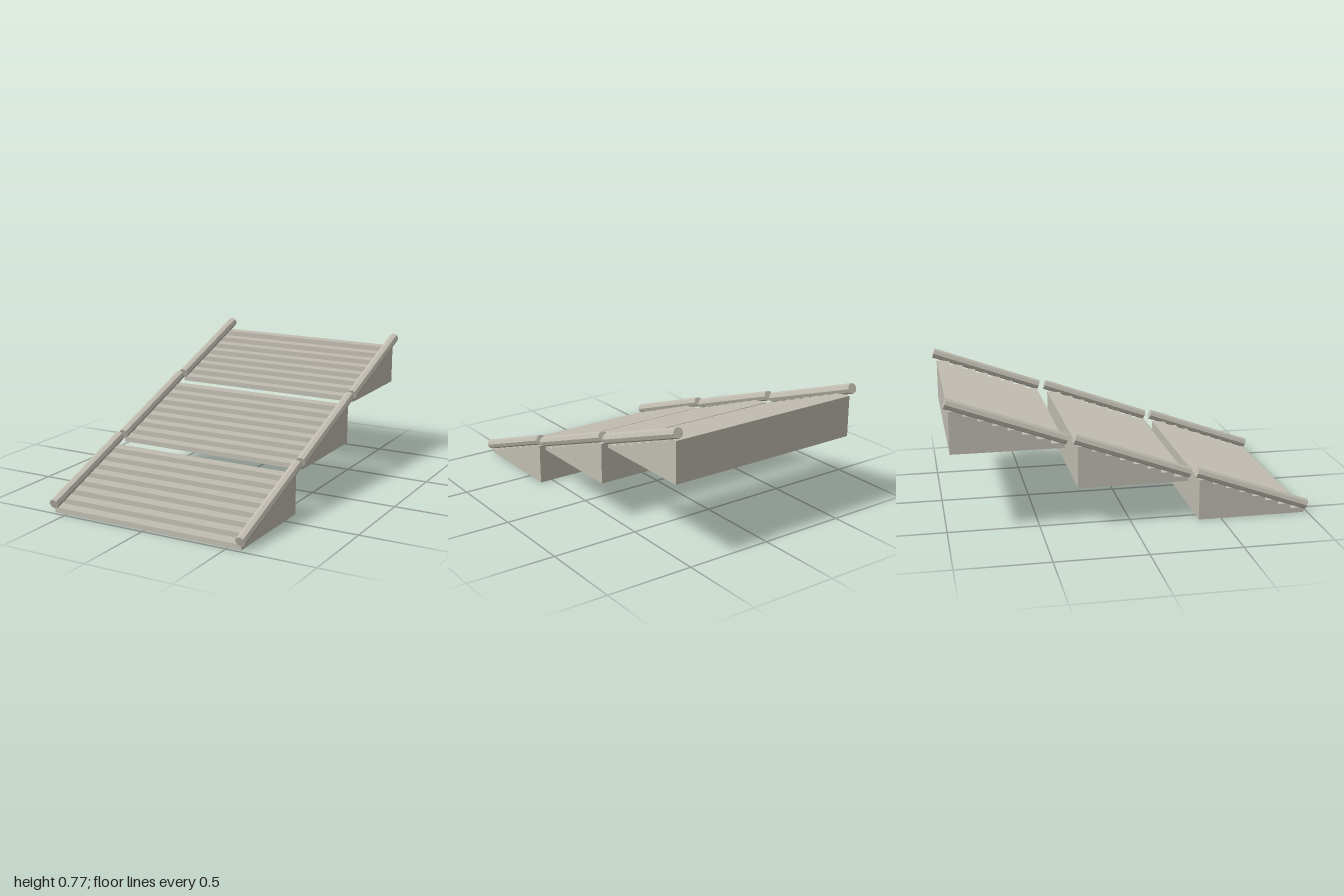
import * as THREE from 'three';

const FLIGHTS = 3, STEPS = 8;
const RISE = 0.0288, RUN = 0.0757;
const OFFSET_Y = STEPS * RISE, OFFSET_Z = -0.673;
const HALF_WIDTH = 0.576, FRONT_Z = 0.979;

// Solid stepped block: saw-tooth side profile extruded across the width
function stairGeometry() {
  const shape = new THREE.Shape();
  shape.moveTo(0, 0);
  shape.lineTo(STEPS * RUN, 0);
  for (let i = STEPS; i > 0; i--) {
    shape.lineTo(i * RUN, i * RISE);
    shape.lineTo((i - 1) * RUN, i * RISE);
  }
  shape.closePath();
  const geo = new THREE.ExtrudeGeometry(shape, { depth: 2 * HALF_WIDTH, bevelEnabled: false });
  geo.translate(0, 0, -HALF_WIDTH);
  geo.rotateY(Math.PI / 2);
  geo.translate(0, 0, FRONT_Z);
  return geo;
}

// Eight-sided rail running up and back between two end centres
function railGeometry() {
  const start = new THREE.Vector3(0, 0.048, 0.99);
  const end = new THREE.Vector3(0, 0.278, 0.356);
  const dir = end.clone().sub(start);
  const geo = new THREE.CylinderGeometry(0.029, 0.029, dir.length(), 8);
  geo.rotateX(-Math.atan2(-dir.z, dir.y));
  const mid = start.add(end).multiplyScalar(0.5);
  geo.translate(mid.x, mid.y, mid.z);
  return geo;
}

export function createModel() {
  const model = new THREE.Group();
  model.name = 'staircase';
  const stone = new THREE.MeshStandardMaterial({ color: 0xc0bcb1, flatShading: true });
  stone.name = 'paleStone';
  const stairs = stairGeometry(), rail = railGeometry();

  // Three identical flights, each set higher and further back
  for (let i = 0; i < FLIGHTS; i++) {
    const flight = new THREE.Group();
    flight.name = `flight${i + 1}`;
    flight.position.set(0, i * OFFSET_Y, i * OFFSET_Z);

    const block = new THREE.Mesh(stairs, stone);
    block.name = 'steps';
    flight.add(block);

    for (const side of [-1, 1]) {
      const mesh = new THREE.Mesh(rail, stone);
      mesh.name = side > 0 ? 'leftRail' : 'rightRail';
      mesh.position.x = side * HALF_WIDTH;
      flight.add(mesh);
    }
    model.add(flight);
  }
  return model;
}
